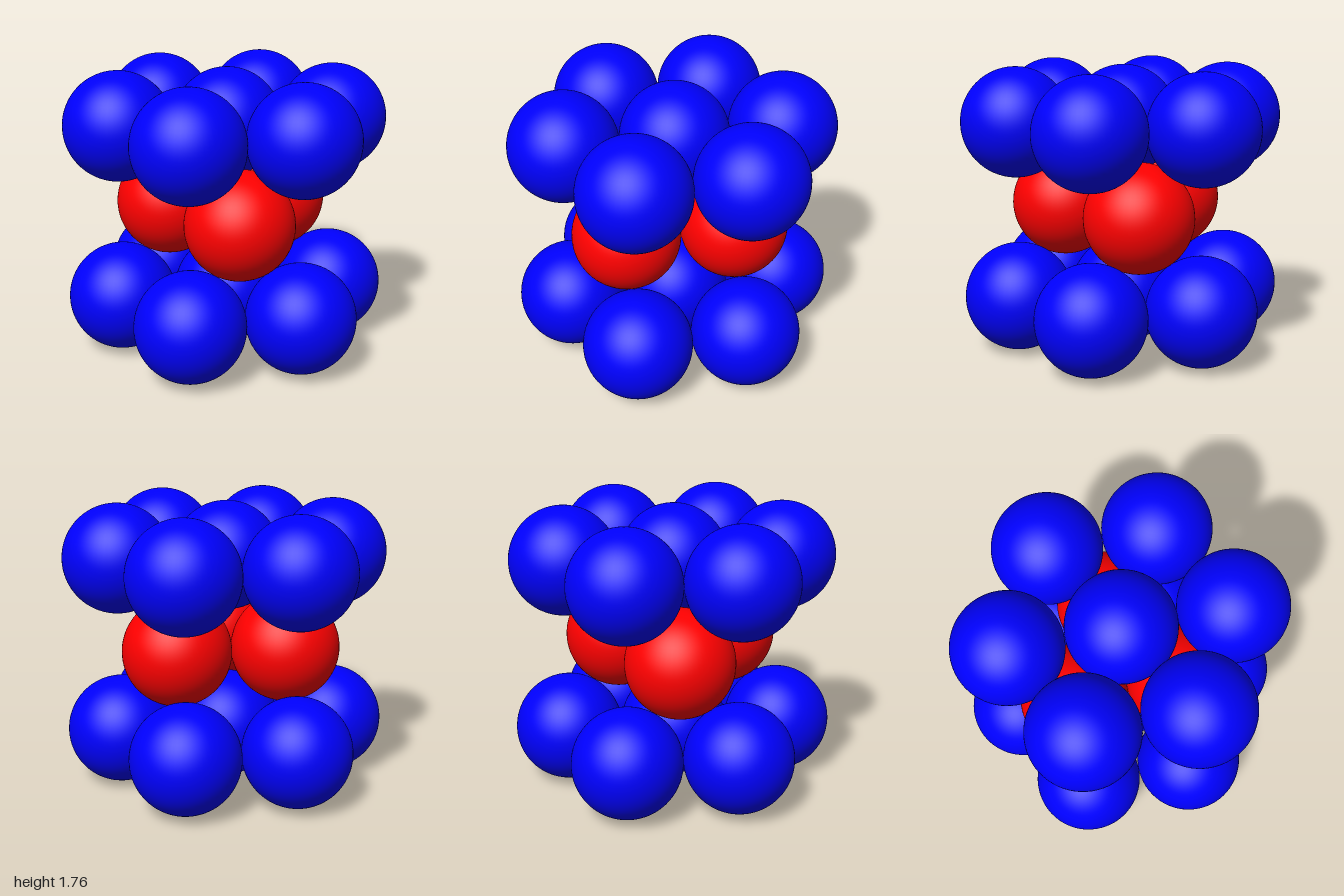
import * as THREE from 'three';

// Hexagonal close packing of equal spheres: layers A, B, A
const R = 1 / 3;
const LAYER_STEP = 2 * R * Math.sqrt(2 / 3);
const HOLE_DISTANCE = 2 * R / Math.sqrt(3);

export function createModel() {
  const model = new THREE.Group();
  model.name = 'closePackedSpheres';

  const sphere = new THREE.SphereGeometry(R, 64, 40);
  const blue = new THREE.MeshStandardMaterial({ color: 0x0000ff });
  const red = new THREE.MeshStandardMaterial({ color: 0xff0000 });

  const addSphere = (layer, name, material, x, z) => {
    const mesh = new THREE.Mesh(sphere, material);
    mesh.name = name;
    mesh.position.set(x, 0, z);
    layer.add(mesh);
  };

  const addLayer = (name, level) => {
    const layer = new THREE.Group();
    layer.name = name;
    layer.position.y = R + level * LAYER_STEP;
    model.add(layer);
    return layer;
  };

  // Outer layers: one sphere ringed by six touching neighbours
  for (const [name, level] of [['bottomLayer', 0], ['topLayer', 2]]) {
    const layer = addLayer(name, level);
    addSphere(layer, 'centreSphere', blue, 0, 0);
    for (let i = 0; i < 6; i++) {
      const a = i * Math.PI / 3;
      addSphere(layer, 'ringSphere', blue, 2 * R * Math.cos(a), 2 * R * Math.sin(a));
    }
  }

  // Middle layer: three spheres in alternate hollows, one facing the front
  const middle = addLayer('middleLayer', 1);
  for (let i = 0; i < 3; i++) {
    const a = i * 2 * Math.PI / 3;
    addSphere(middle, 'middleSphere', red, HOLE_DISTANCE * Math.sin(a), HOLE_DISTANCE * Math.cos(a));
  }

  return model;
}
